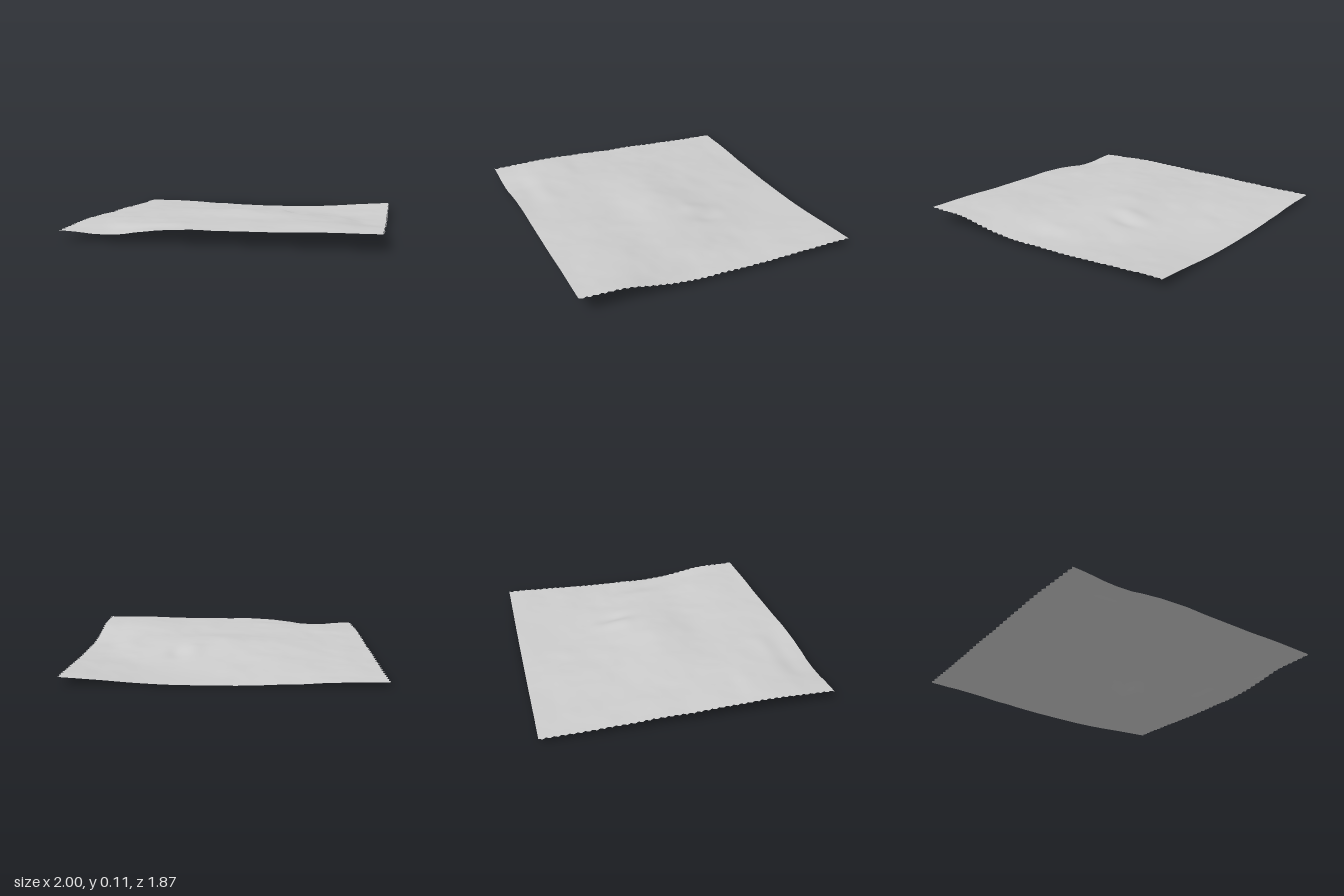
import * as THREE from 'three';

// Broad heights: rows run back to front, columns left to right in x
const HEIGHTS = [
  [0.030, 0.025, 0.008, 0.003, 0.006, 0.025, 0.050],
  [0.032, 0.040, 0.035, 0.020, 0.011, 0.024, 0.045],
  [0.045, 0.055, 0.060, 0.052, 0.040, 0.026, 0.036],
  [0.055, 0.070, 0.088, 0.097, 0.083, 0.052, 0.031],
  [0.065, 0.078, 0.085, 0.085, 0.085, 0.075, 0.042],
  [0.074, 0.080, 0.089, 0.093, 0.098, 0.106, 0.094],
  [0.066, 0.050, 0.088, 0.096, 0.099, 0.106, 0.109],
];
const HALF_DEPTH = 0.933;

// Smooth curve through evenly spaced values, t in 0..1
function spline(values, t) {
  const last = values.length - 1;
  const s = Math.min(Math.max(t, 0), 1) * last;
  const i = Math.min(Math.floor(s), last - 1);
  const f = s - i;
  const b = values[i], c = values[i + 1];
  const a = i > 0 ? values[i - 1] : 2 * b - c;
  const d = i + 2 <= last ? values[i + 2] : 2 * c - b;
  return b + 0.5 * f * (c - a + f * (2 * a - 5 * b + 4 * c - d + f * (3 * (b - c) + d - a)));
}

// Seeded value noise, -1..1
function hash(i, j) {
  const n = Math.sin(i * 127.1 + j * 311.7 + 4.3) * 43758.5453;
  return 2 * (n - Math.floor(n)) - 1;
}
function noise(x, z) {
  const i = Math.floor(x), j = Math.floor(z);
  const u = THREE.MathUtils.smoothstep(x - i, 0, 1);
  const v = THREE.MathUtils.smoothstep(z - j, 0, 1);
  const { lerp } = THREE.MathUtils;
  return lerp(lerp(hash(i, j), hash(i + 1, j), u), lerp(hash(i, j + 1), hash(i + 1, j + 1), u), v);
}

function bump(x, z, cx, cz, rx, rz) {
  return Math.exp(-(((x - cx) / rx) ** 2) - ((z - cz) / rz) ** 2);
}

function heightAt(x, z) {
  const rows = HEIGHTS.map((row) => spline(row, (x + 1) / 2));
  let h = spline(rows, (z + HALF_DEPTH) / (2 * HALF_DEPTH));
  // Steep bank beside the central hill, and low scarps around it
  h += 0.014 * bump(x, z, 0.23, -0.2, 0.07, 0.13) - 0.012 * bump(x, z, 0.34, -0.22, 0.06, 0.13);
  h += 0.006 * bump(x, z, -0.05, -0.62, 0.1, 0.1);
  h += 0.006 * bump(x, z, 0.7, 0.06, 0.08, 0.16) - 0.005 * bump(x, z, 0.84, 0.08, 0.08, 0.16);
  h += 0.005 * bump(x, z, -0.5, 0.7, 0.25, 0.06) - 0.005 * bump(x, z, -0.5, 0.8, 0.25, 0.06);
  h += 0.004 * bump(x, z, -0.8, 0.42, 0.2, 0.08);
  // Fine roughness, fading out on the flat ground at the back
  const flat = 1 - 0.85 * bump(x, z, 0.25, -0.75, 0.3, 0.3);
  h += flat * (0.003 * noise(x * 6, z * 6) + 0.0015 * noise(x * 14 + 9, z * 14));
  return THREE.MathUtils.clamp(h, 0, 0.115);
}

// Staggered triangle lattice: every other row shifts half a step, giving toothed sides
function terrainGeometry(cols, rows) {
  const step = 2 / (cols + 0.5);
  const positions = [];
  const indices = [];
  for (let j = 0; j <= rows; j++) {
    const z = -HALF_DEPTH + (2 * HALF_DEPTH * j) / rows;
    const shift = j % 2 === 0 ? 0.5 : 0;
    for (let i = 0; i <= cols; i++) {
      const x = -1 + (i + shift) * step;
      positions.push(x, heightAt(x, z), z);
    }
  }
  for (let j = 0; j < rows; j++) {
    for (let i = 0; i < cols; i++) {
      const a = j * (cols + 1) + i, b = a + 1;
      const c = a + cols + 1, d = c + 1;
      if (j % 2 === 0) indices.push(a, c, d, a, d, b);
      else indices.push(a, c, b, b, c, d);
    }
  }
  const geometry = new THREE.BufferGeometry();
  geometry.setAttribute('position', new THREE.Float32BufferAttribute(positions, 3));
  geometry.setIndex(indices);
  geometry.computeVertexNormals();
  // Rest the lowest point on the ground
  geometry.computeBoundingBox();
  geometry.translate(0, -geometry.boundingBox.min.y, 0);
  return geometry;
}

export function createModel() {
  const group = new THREE.Group();
  group.name = 'landscape';
  const material = new THREE.MeshStandardMaterial({ color: 0xcccccc, side: THREE.DoubleSide });
  material.name = 'pale grey';
  const terrain = new THREE.Mesh(terrainGeometry(75, 81), material);
  terrain.name = 'terrain';
  group.add(terrain);
  return group;
}
